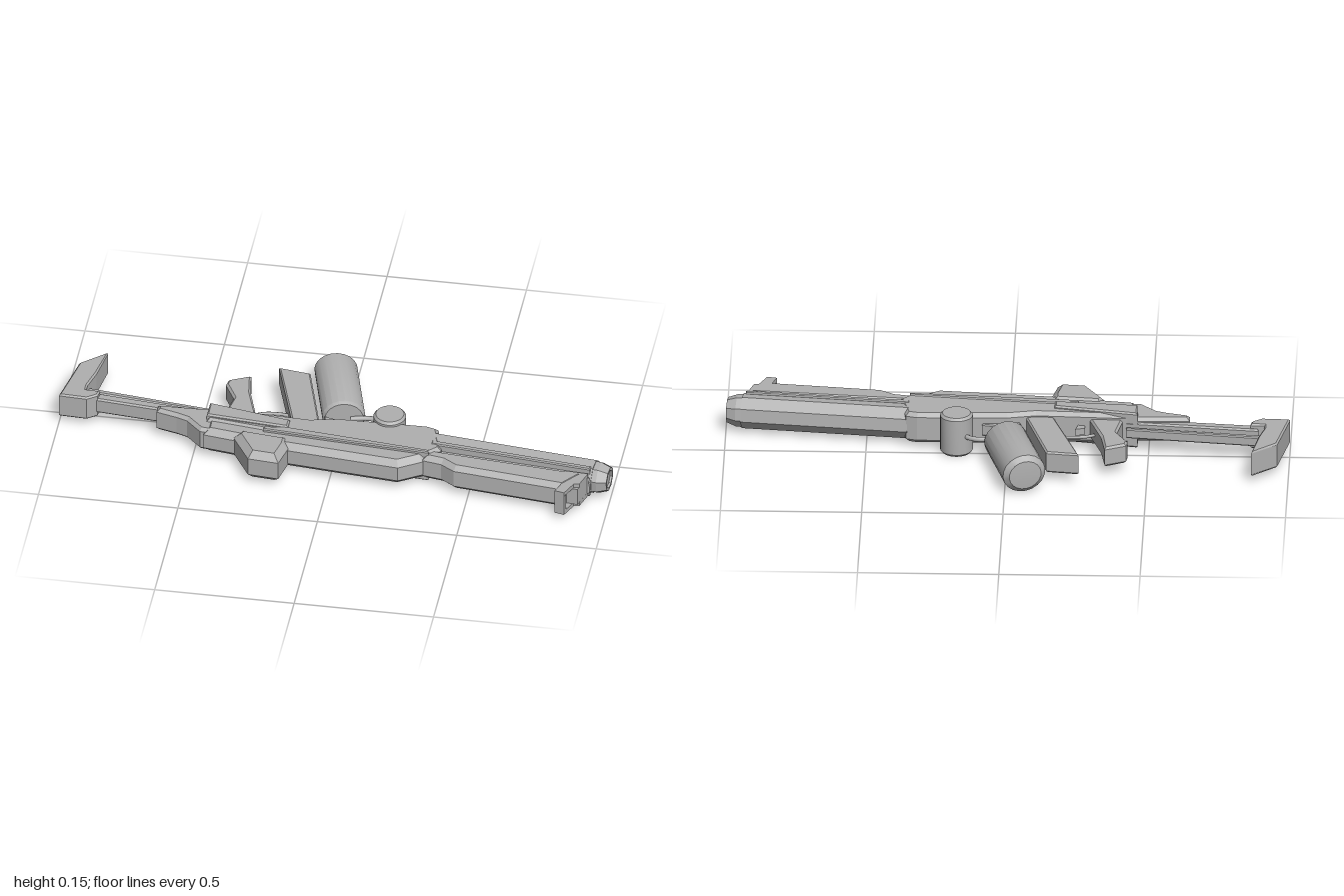
import * as THREE from 'three';
import { toCreasedNormals } from 'three/addons/utils/BufferGeometryUtils.js';

const MID = 0.077; // height of the model's plane of symmetry

export function createModel() {
  const model = new THREE.Group();
  model.name = 'rifle';
  const metal = new THREE.MeshStandardMaterial({ color: 0xb0b0b0 });
  metal.name = 'plain grey';

  const add = (name, geometry) => {
    const mesh = new THREE.Mesh(geometry, metal);
    mesh.name = name;
    model.add(mesh);
    return mesh;
  };

  // Outline of [x, z] points, extruded in y with chamfered rims
  const slab = (name, pts, height, chamfer = 0, y = MID) => {
    const shape = new THREE.Shape(pts.map(([x, z]) => new THREE.Vector2(x, -z)));
    const g = new THREE.ExtrudeGeometry(shape, {
      depth: height - 2 * chamfer, bevelEnabled: chamfer > 0, bevelSegments: 1,
      bevelThickness: chamfer, bevelSize: chamfer, bevelOffset: -chamfer,
    });
    g.rotateX(-Math.PI / 2);
    g.translate(0, y - height / 2 + chamfer, 0);
    return add(name, g);
  };

  // Turned part: [radius, distance] profile, placed from a towards b in the xz plane
  const turned = (name, profile, sides, a, b, crease = 0.6) => {
    let g = new THREE.LatheGeometry(profile.map(([r, d]) => new THREE.Vector2(r, d)), sides);
    g.rotateY(Math.PI / sides);
    g = toCreasedNormals(g, crease);
    const mesh = add(name, g);
    const dir = new THREE.Vector3(b[0] - a[0], 0, b[1] - a[1]).normalize();
    mesh.quaternion.setFromUnitVectors(new THREE.Vector3(0, 1, 0), dir);
    mesh.position.set(a[0], MID, a[1]);
    return mesh;
  };

  const tube = (name, pts, r) => add(name, new THREE.TubeGeometry(
    new THREE.CatmullRomCurve3(pts.map(([x, z]) => new THREE.Vector3(x, MID, z))), 16, r, 8));

  // Stock
  slab('buttPlate', [[-1, 0.06], [-0.96, -0.145], [-0.87, -0.22], [-0.89, -0.09], [-0.91, -0.015],
    [-0.91, 0.01], [-0.86, 0.012], [-0.865, 0.04], [-0.9, 0.065]], 0.095, 0.006);
  slab('stockUpperRod', [[-0.92, -0.04], [-0.42, 0.02], [-0.42, 0.038], [-0.92, -0.018]], 0.036, 0.004);
  slab('stockLowerBar', [[-0.89, 0.002], [-0.42, 0.05], [-0.42, 0.085], [-0.89, 0.04]], 0.06, 0.006);

  // Receiver
  slab('receiverRear', [[-0.645, 0.055], [-0.46, 0.05], [-0.3, 0.09], [-0.3, 0.2], [-0.475, 0.18],
    [-0.53, 0.125], [-0.57, 0.11], [-0.645, 0.09]], 0.092, 0.012);
  slab('receiver', [[-0.46, 0.05], [-0.1, 0.066], [0, 0.045], [0.32, 0.038], [0.36, 0.05],
    [0.39, 0.17], [0.35, 0.21], [-0.23, 0.165], [-0.46, 0.135]], 0.116, 0.014);
  slab('receiverBelly', [[-0.46, 0.11], [0.36, 0.19], [0.33, 0.225], [0.25, 0.275], [-0.16, 0.235],
    [-0.46, 0.19]], 0.1, 0.022);
  slab('feedBlock', [[-0.35, 0.2], [-0.28, 0.315], [-0.17, 0.325], [-0.15, 0.235], [-0.15, 0.18],
    [-0.33, 0.16]], 0.116, 0.024);
  slab('sideRails', [[-0.46, 0.045], [-0.165, 0.1], [-0.165, 0.145], [-0.46, 0.12]], 0.135, 0.006);
  slab('lowerRails', [[-0.25, 0.148], [-0.17, 0.138], [0.35, 0.192], [0.35, 0.21], [-0.25, 0.166]], 0.124, 0.004);

  // Grip, trigger and magazine
  slab('grip', [[-0.425, -0.145], [-0.35, -0.18], [-0.335, -0.08], [-0.285, 0.08], [-0.41, 0.07],
    [-0.39, -0.04], [-0.43, -0.115]], 0.075, 0.008);
  slab('trigger', [[-0.27, 0.08], [-0.275, 0.035], [-0.24, 0.025], [-0.255, 0.08]], 0.025);
  tube('triggerGuard', [[-0.31, 0.005], [-0.27, -0.012], [-0.21, -0.016], [-0.16, -0.005]], 0.006);
  slab('magazine', [[-0.26, -0.24], [-0.145, -0.225], [-0.06, 0.08], [-0.16, 0.08]], 0.08, 0.006);

  // Canister with its hose and mount
  const canister = turned('canister', [[0, 0], [0.055, 0.004], [0.073, 0.022], [0.073, 0.31],
    [0.065, 0.322], [0, 0.322]], 20, [-0.075, -0.338], [0.01, -0.02]);
  canister.scale.set(1.06, 1, 0.95);
  slab('canisterMount', [[-0.06, 0.0], [0.09, 0.035], [0.09, 0.07], [-0.04, 0.07]], 0.045, 0.004);
  tube('hose', [[0.03, -0.03], [0.1, -0.042], [0.14, -0.025], [0.17, 0.02]], 0.009);

  // Round cap across the body
  const cap = add('roundCap', toCreasedNormals(new THREE.LatheGeometry(
    [[0, 0], [0.05, 0], [0.058, 0.009], [0.058, 0.141], [0.05, 0.15], [0, 0.15]]
      .map(([r, y]) => new THREE.Vector2(r, y)), 20), 0.6));
  cap.position.set(0.18, 0.002, 0.02);

  // Barrel shroud, muzzle and handguard
  turned('barrelShroud', [[0, 0], [0.062, 0], [0.062, 0.595], [0, 0.595]], 8, [0.35, 0.105], [0.94, 0.172], 0.3);
  slab('shroudRail', [[0.35, 0.13], [0.93, 0.193], [0.93, 0.214], [0.35, 0.153]], 0.12, 0.004);
  turned('muzzle', [[0, 0], [0.05, 0], [0.058, 0.006], [0.058, 0.03], [0.045, 0.065], [0.034, 0.065],
    [0.03, 0.058], [0, 0.058]], 8, [0.93, 0.171], [0.995, 0.179], 0.3);
  slab('handguard', [[0.33, 0.165], [0.93, 0.228], [0.9, 0.25], [0.85, 0.315], [0.45, 0.268],
    [0.4, 0.235], [0.33, 0.222]], 0.1, 0.018);

  // Front sight: two ears joined by a bar
  for (const side of [-1, 1]) {
    slab('sightEar', [[0.825, 0.345], [0.86, 0.353], [0.885, 0.295], [0.905, 0.29], [0.925, 0.225],
      [0.84, 0.22], [0.845, 0.29]], 0.016, 0, MID + side * 0.04);
  }
  slab('sightBar', [[0.828, 0.338], [0.866, 0.342], [0.86, 0.353], [0.825, 0.345]], 0.066);
  slab('sightBase', [[0.84, 0.22], [0.925, 0.225], [0.9, 0.305], [0.845, 0.3]], 0.066);

  return model;
}
